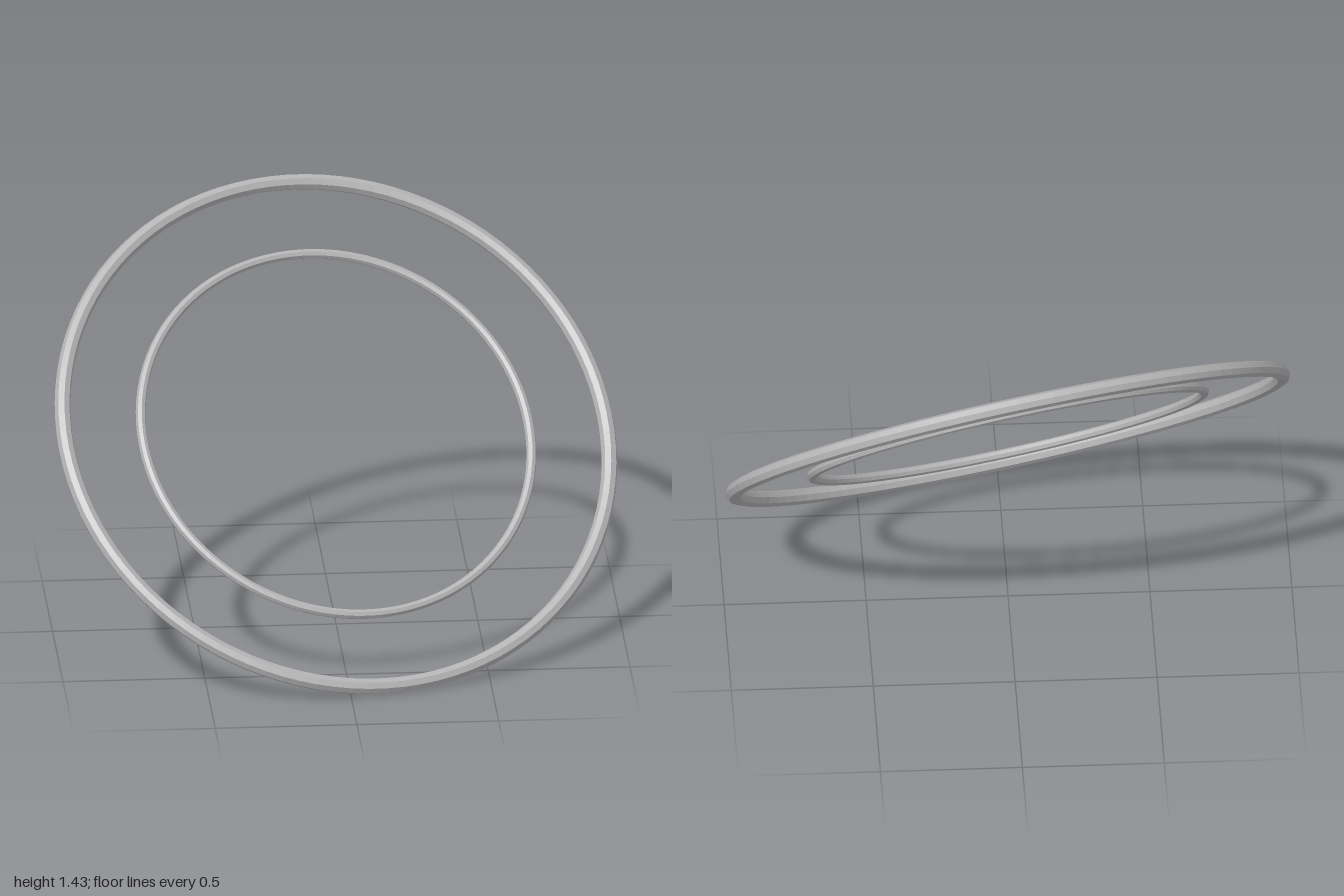
import * as THREE from 'three';

export function createModel() {
  const model = new THREE.Group();
  model.name = 'tiltedRings';

  const grey = new THREE.MeshStandardMaterial({ color: 0xb4b4b4 });
  grey.name = 'grey metal';

  // Faceted eight-sided tube bent into a ring; facets get hard edges
  const addRing = (name, radius, tube) => {
    const geometry = new THREE.TorusGeometry(radius, tube, 8, 100).toNonIndexed();
    geometry.computeVertexNormals();
    const ring = new THREE.Mesh(geometry, grey);
    ring.name = name;
    rings.add(ring);
  };

  // Two concentric rings share one tilted plane
  const rings = new THREE.Group();
  rings.name = 'rings';
  addRing('outerRing', 0.988, 0.0285);
  addRing('innerRing', 0.706, 0.0177);
  rings.rotation.set(-0.82, 0.18, 0);
  rings.position.y = 0.715;
  model.add(rings);

  return model;
}
